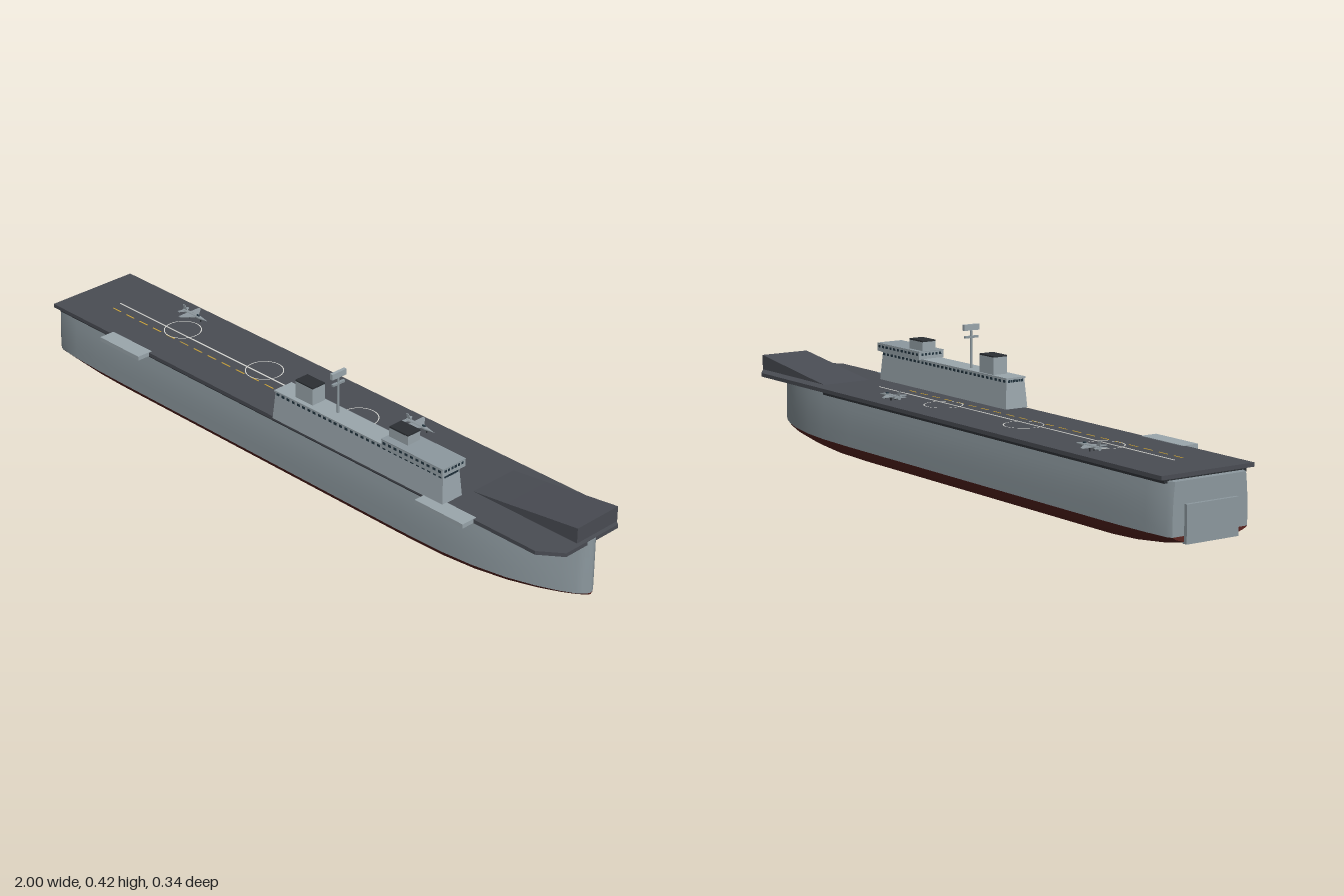
import * as THREE from 'three';
import { toCreasedNormals } from 'three/addons/utils/BufferGeometryUtils.js';

const CZ = -0.015; // hull centre line
const mat = (color) => new THREE.MeshStandardMaterial({ color });
const M = {
  hull: mat(0x8d999f), red: mat(0x5c2621), deck: mat(0x4a4d54), dark: mat(0x2b2f33),
  light: mat(0x9ba7ad), glass: mat(0x22343f), white: mat(0xd5d5d0), yellow: mat(0xc9a23a), plane: mat(0x8f999f),
};

function add(parent, name, geometry, material, x = 0, y = 0, z = 0) {
  const mesh = new THREE.Mesh(geometry, material);
  mesh.name = name;
  mesh.position.set(x, y, z);
  parent.add(mesh);
  return mesh;
}

// Box given by its limits on each axis
const block = (parent, name, m, [x0, x1], [y0, y1], [z0, z1]) =>
  add(parent, name, new THREE.BoxGeometry(x1 - x0, y1 - y0, z1 - z0), m, (x0 + x1) / 2, (y0 + y1) / 2, (z0 + z1) / 2);

// Closed, capped skin over equal-length rings ordered along +x
function loft(rings) {
  const n = rings[0].length, pos = rings.flat(2), idx = [];
  for (let s = 0; s < rings.length - 1; s++) {
    for (let i = 0; i < n; i++) {
      const j = (i + 1) % n, a = s * n + i, b = s * n + j;
      idx.push(a, b, b + n, a, b + n, a + n);
    }
  }
  const e = (rings.length - 1) * n;
  for (let i = 1; i < n - 1; i++) idx.push(0, i + 1, i, e, e + i, e + i + 1);
  const g = new THREE.BufferGeometry();
  g.setAttribute('position', new THREE.Float32BufferAttribute(pos, 3));
  g.setIndex(idx);
  return toCreasedNormals(g, 0.55);
}

// Flat outline in x/z, extruded upward
function slab(points, height) {
  const shape = new THREE.Shape(points.map(([x, z]) => new THREE.Vector2(x, -z)));
  return new THREE.ExtrudeGeometry(shape, { depth: height, bevelEnabled: false }).rotateX(-Math.PI / 2);
}

// Hull stations: x, half width, keel height, top height
const stations = [
  [-0.99, 0.12, 0.034, 0.193], [-0.975, 0.127, 0.031, 0.193], [-0.9, 0.133, 0.017, 0.193], [-0.8, 0.137, 0.005, 0.193],
  [-0.7, 0.138, 0, 0.193], [0, 0.138, 0, 0.193], [0.45, 0.138, 0, 0.193], [0.6, 0.134, 0.002, 0.193],
  [0.7, 0.124, 0.008, 0.194], [0.8, 0.104, 0.018, 0.196], [0.88, 0.078, 0.029, 0.198], [0.94, 0.052, 0.039, 0.202],
  [0.975, 0.032, 0.045, 0.206], [0.99, 0.02, 0.048, 0.209], [0.997, 0.01, 0.049, 0.211], [1, 0.002, 0.05, 0.212],
];

function buildHull(root) {
  const ring = (x, half) => [
    ...half.map(([z, y]) => [x, y, CZ + z]),
    ...half.slice().reverse().filter(([z]) => z > 0).map(([z, y]) => [x, y, CZ - z]),
  ];
  const wl = 0.055;
  add(root, 'upperHull', loft(stations.map(([x, w, , top]) =>
    ring(x, [[w * 0.945, top], [w * 0.975, 0.16], [w * 0.995, 0.125], [w, 0.09], [w, wl]]))), M.hull);
  add(root, 'lowerHull', loft(stations.map(([x, w, k]) => {
    const y = (t) => k + (wl - k) * t;
    return ring(x, [[w, wl], [w * 0.91, y(0.67)], [w * 0.74, y(0.36)], [w * 0.56, y(0.11)], [0, k]]);
  })), M.red);
  block(root, 'sternGate', M.hull, [-1, -0.985], [0.035, 0.135], [CZ - 0.083, CZ + 0.083]);
}

function buildDeck(root) {
  block(root, 'galleryStrip', M.dark, [-0.97, 0.6], [0.187, 0.201], [CZ - 0.132, CZ + 0.132]);
  add(root, 'flightDeck', slab([
    [-0.985, -0.168], [0.92, -0.168], [0.992, -0.118], [0.992, 0.082], [0.93, 0.13], [-0.985, 0.13],
  ], 0.011), M.deck, 0, 0.2, 0);
  // Ski-jump wedge with a gentle upward curve
  const side = new THREE.Shape([
    [0.62, 0.209], [0.98, 0.209], [0.98, 0.255], [0.86, 0.24], [0.74, 0.2245], [0.62, 0.2105],
  ].map((p) => new THREE.Vector2(...p)));
  add(root, 'bowRamp', new THREE.ExtrudeGeometry(side, { depth: 0.156, bevelEnabled: false }), M.deck, 0, 0, -0.128);
  for (const x of [-0.635, 0.635]) block(root, 'sideElevator', M.light, [x - 0.085, x + 0.085], [0.2, 0.2125], [0.12, 0.17]);

  // Painted markings
  const y = [0.211, 0.2118];
  block(root, 'centreLine', M.white, [-0.85, 0.5], y, [-0.0175, -0.0125]);
  for (let x = -0.84; x < 0.4; x += 0.06) block(root, 'deckDash', M.yellow, [x, x + 0.035], y, [0.018, 0.022]);
  for (const x of [-0.59, -0.24, 0.14]) {
    add(root, 'landingCircle', new THREE.RingGeometry(0.053, 0.056, 40).rotateX(-Math.PI / 2), M.white, x, 0.2119, -0.035);
  }
}

function buildIsland(root) {
  const island = new THREE.Group();
  island.name = 'island';
  root.add(island);
  const Z = 0.1;
  // Tower block, narrowing toward the roof
  const g = new THREE.BoxGeometry(0.64, 0.084, 0.074);
  const p = g.attributes.position;
  for (let i = 0; i < p.count; i++) {
    if (p.getY(i) > 0) p.setXYZ(i, p.getX(i) * 0.98, p.getY(i), p.getZ(i) * 0.82);
  }
  g.computeVertexNormals();
  add(island, 'tower', g, M.light, 0.297, 0.253, Z);
  block(island, 'towerRoof', M.light, [-0.02, 0.615], [0.293, 0.298], [Z - 0.033, Z + 0.033]);
  block(island, 'bridge', M.light, [0.4, 0.62], [0.297, 0.32], [Z - 0.043, Z + 0.043]);
  block(island, 'bridgeRoof', M.hull, [0.398, 0.622], [0.319, 0.321], [Z - 0.043, Z + 0.043]);

  // Window rows on both long sides and both ends
  const windows = (x0, x1, y, hz) => {
    const n = Math.round((x1 - x0) / 0.02);
    for (let i = 0; i < n; i++) {
      const x = x0 + (i + 0.5) * (x1 - x0) / n;
      for (const s of [-1, 1]) add(island, 'window', new THREE.BoxGeometry(0.01, 0.007, 0.002), M.glass, x, y, Z + s * hz);
    }
    for (let i = 0; i < 6; i++) {
      for (const x of [x0, x1]) {
        add(island, 'endWindow', new THREE.BoxGeometry(0.002, 0.007, 0.007), M.glass, x, y, Z + (i - 2.5) * hz * 0.29);
      }
    }
  };
  windows(-0.017, 0.612, 0.288, 0.0312);
  windows(0.4, 0.62, 0.3115, 0.043);

  // Funnels with dark caps
  for (const x of [0.082, 0.438]) {
    block(island, 'funnel', M.light, [x - 0.034, x + 0.034], [0.297, 0.347], [0.072, 0.118]);
    block(island, 'funnelCap', M.dark, [x - 0.034, x + 0.034], [0.347, 0.351], [0.072, 0.118]);
  }

  // Mast and radar
  const mz = 0.095, mx = 0.19;
  add(island, 'mast', new THREE.CylinderGeometry(0.003, 0.004, 0.115, 10), M.hull, mx, 0.352, mz);
  block(island, 'yardarm', M.hull, [mx - 0.004, mx + 0.004], [0.384, 0.39], [mz - 0.022, mz + 0.022]);
  block(island, 'radar', M.light, [mx - 0.005, mx + 0.005], [0.406, 0.423], [mz - 0.026, mz + 0.026]);
}

function buildJet(root, x, z) {
  const jet = new THREE.Group();
  jet.name = 'parkedJet';
  jet.position.set(x, 0.222, z);
  root.add(jet);
  const along = (geo) => geo.rotateZ(-Math.PI / 2); // lay on the x axis, nose to +x
  add(jet, 'fuselage', along(new THREE.CylinderGeometry(0.006, 0.006, 0.07, 10)), M.plane, -0.012);
  add(jet, 'nose', along(new THREE.ConeGeometry(0.006, 0.034, 10)), M.plane, 0.04);
  add(jet, 'canopy', new THREE.SphereGeometry(0.004, 10, 6).scale(2, 1, 0.8), M.glass, 0.016, 0.005);
  for (const s of [-1, 1]) {
    add(jet, 'wing', slab([[0.016, 0], [-0.018, s * 0.04], [-0.026, s * 0.04], [-0.026, 0]], 0.002), M.plane);
    add(jet, 'tailplane', slab([[-0.034, 0], [-0.047, s * 0.02], [-0.053, s * 0.02], [-0.05, 0]], 0.002), M.plane);
    add(jet, 'wheel', new THREE.CylinderGeometry(0.0025, 0.0025, 0.008, 8), M.dark, -0.014, -0.007, s * 0.007);
  }
  add(jet, 'noseWheel', new THREE.CylinderGeometry(0.002, 0.002, 0.008, 8), M.dark, 0.026, -0.007, 0);
  const fin = new THREE.Shape([[-0.03, 0.004], [-0.043, 0.019], [-0.051, 0.019], [-0.047, 0.004]].map((q) => new THREE.Vector2(...q)));
  add(jet, 'fin', new THREE.ExtrudeGeometry(fin, { depth: 0.002, bevelEnabled: false }), M.plane, 0, 0, -0.001);
}

export function createModel() {
  const root = new THREE.Group();
  root.name = 'aircraftCarrier';
  buildHull(root);
  buildDeck(root);
  buildIsland(root);
  for (const x of [-0.62, 0.3]) buildJet(root, x, -0.108);
  return root;
}
